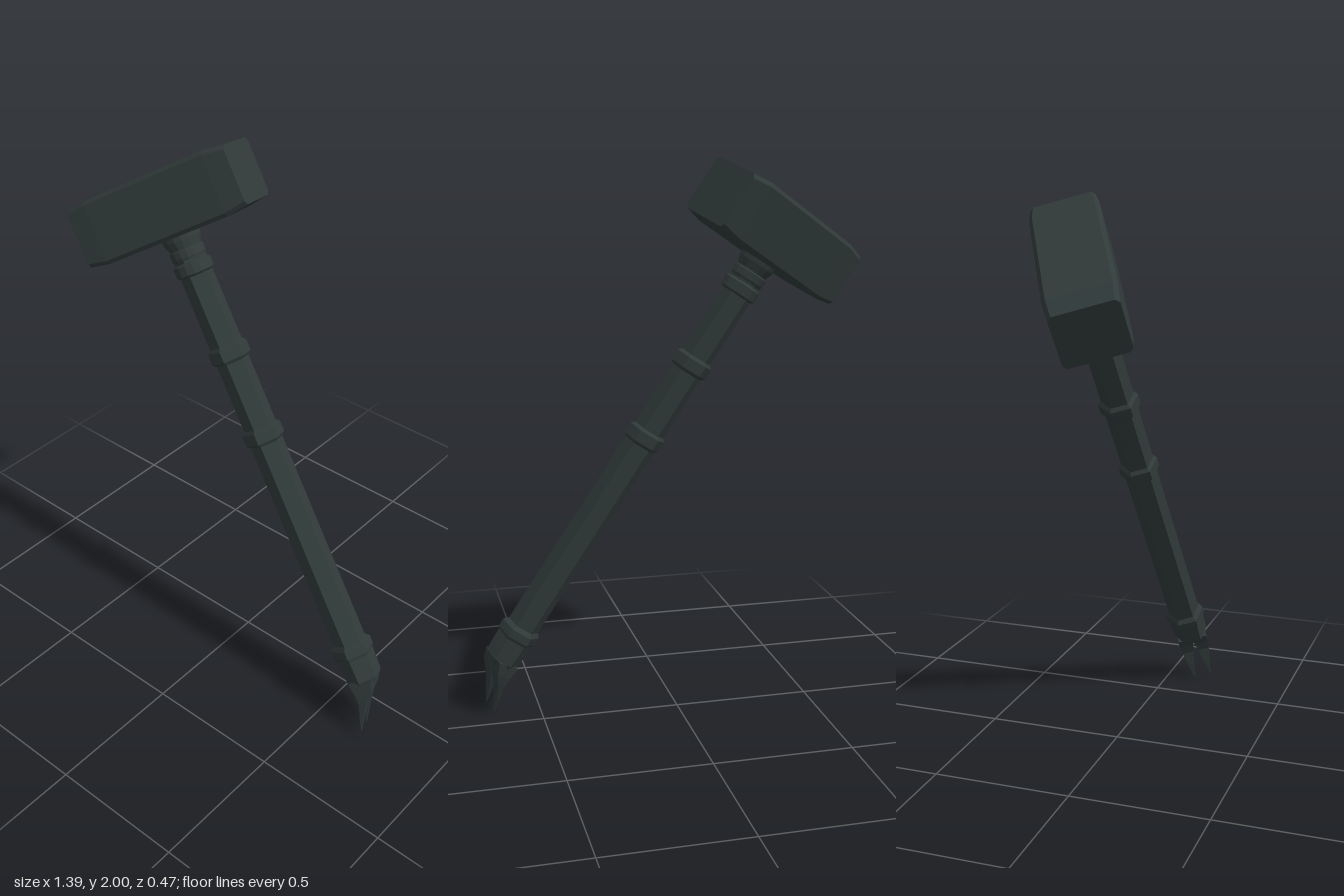
import * as THREE from 'three';

const iron = new THREE.MeshStandardMaterial({ color: 0x303a39, flatShading: true });
iron.name = 'dark iron';

// Skin a list of equal-length cross-sections and cap both ends
function loft(sections) {
  const n = sections[0].length, index = [];
  for (let i = 0; i < sections.length - 1; i++) {
    for (let j = 0; j < n; j++) {
      const a = i * n + j, b = i * n + (j + 1) % n;
      index.push(a, b, b + n, a, b + n, a + n);
    }
  }
  const last = (sections.length - 1) * n;
  for (let k = 1; k < n - 1; k++) {
    index.push(0, k + 1, k, last, last + k, last + k + 1);
  }
  const geometry = new THREE.BufferGeometry();
  geometry.setAttribute('position', new THREE.Float32BufferAttribute(sections.flat(2), 3));
  geometry.setIndex(index);
  const flat = geometry.toNonIndexed();
  flat.computeVertexNormals();
  return flat;
}

// Faceted turned part from [radius, height] pairs, bottom to top
function turned(profile, sides) {
  const points = profile.map(([r, y]) => new THREE.Vector2(r, y));
  const geometry = new THREE.LatheGeometry(points, sides).toNonIndexed();
  geometry.computeVertexNormals();
  return geometry;
}

export function createModel() {
  const model = new THREE.Group();
  model.name = 'hammer';
  const add = (name, geometry) => {
    const mesh = new THREE.Mesh(geometry, iron);
    mesh.name = name;
    model.add(mesh);
  };

  // Head: bevelled block, tapered at both ends
  const slice = (x, b, c) => {
    const e = 0.014;
    return [[b, -c + e], [b, c - e], [b - e, c], [-b + e, c],
      [-b, c - e], [-b, -c + e], [-b + e, -c], [b - e, -c]].map(([y, z]) => [x, y, z]);
  };
  add('head', loft([
    slice(-0.313, 0.102, 0.113), slice(-0.235, 0.114, 0.12),
    slice(0.235, 0.114, 0.12), slice(0.313, 0.102, 0.113),
  ]));

  // Hexagonal shaft
  add('shaft', turned([[0, -1.8], [0.061, -1.8], [0.058, -0.12], [0, -0.12]], 6));

  // Round neck and collar beneath the head
  add('neck', turned([[0.058, -0.2], [0.062, -0.19], [0.062, -0.165], [0.057, -0.16],
    [0.068, -0.13], [0.072, -0.1]], 16));
  add('collar', turned([[0.055, -0.258], [0.068, -0.25], [0.068, -0.215], [0.055, -0.207]], 16));

  // Bands on the shaft
  for (const y of [-0.55, -0.86]) {
    add('shaftBand', turned([[0.056, y - 0.034], [0.072, y - 0.02],
      [0.072, y + 0.02], [0.056, y + 0.034]], 6));
  }

  // Pommel
  add('pommel', turned([[0, -1.848], [0.052, -1.848], [0.067, -1.825], [0.07, -1.735],
    [0.076, -1.725], [0.076, -1.695], [0.056, -1.675]], 6));

  // Forked claw: [height, front x, back x, inner z, outer z]
  const claw = [[-1.825, 0.046, -0.044, 0, 0.058], [-1.87, 0.026, -0.036, 0.003, 0.059],
    [-1.91, -0.008, -0.038, 0.011, 0.055], [-1.96, -0.042, -0.058, 0.02, 0.047],
    [-2.02, -0.076, -0.08, 0.03, 0.036]];
  for (const side of [-1, 1]) {
    add('clawProng', loft(claw.map(([y, x1, x0, inner, outer]) => {
      const z0 = side > 0 ? inner : -outer, z1 = side > 0 ? outer : -inner;
      return [[x1, y, z0], [x1, y, z1], [x0, y, z1], [x0, y, z0]];
    })));
  }

  // Lean the whole hammer
  const up = new THREE.Vector3(-0.544, 0.837, -0.054).normalize();
  const front = new THREE.Vector3(0.778, 0.479, -0.41).cross(up).normalize();
  const along = new THREE.Vector3().crossVectors(up, front);
  model.quaternion.setFromRotationMatrix(new THREE.Matrix4().makeBasis(along, up, front));
  model.position.set(-0.36, 1.74, 0);

  const root = new THREE.Group();
  root.add(model);
  return root;
}
